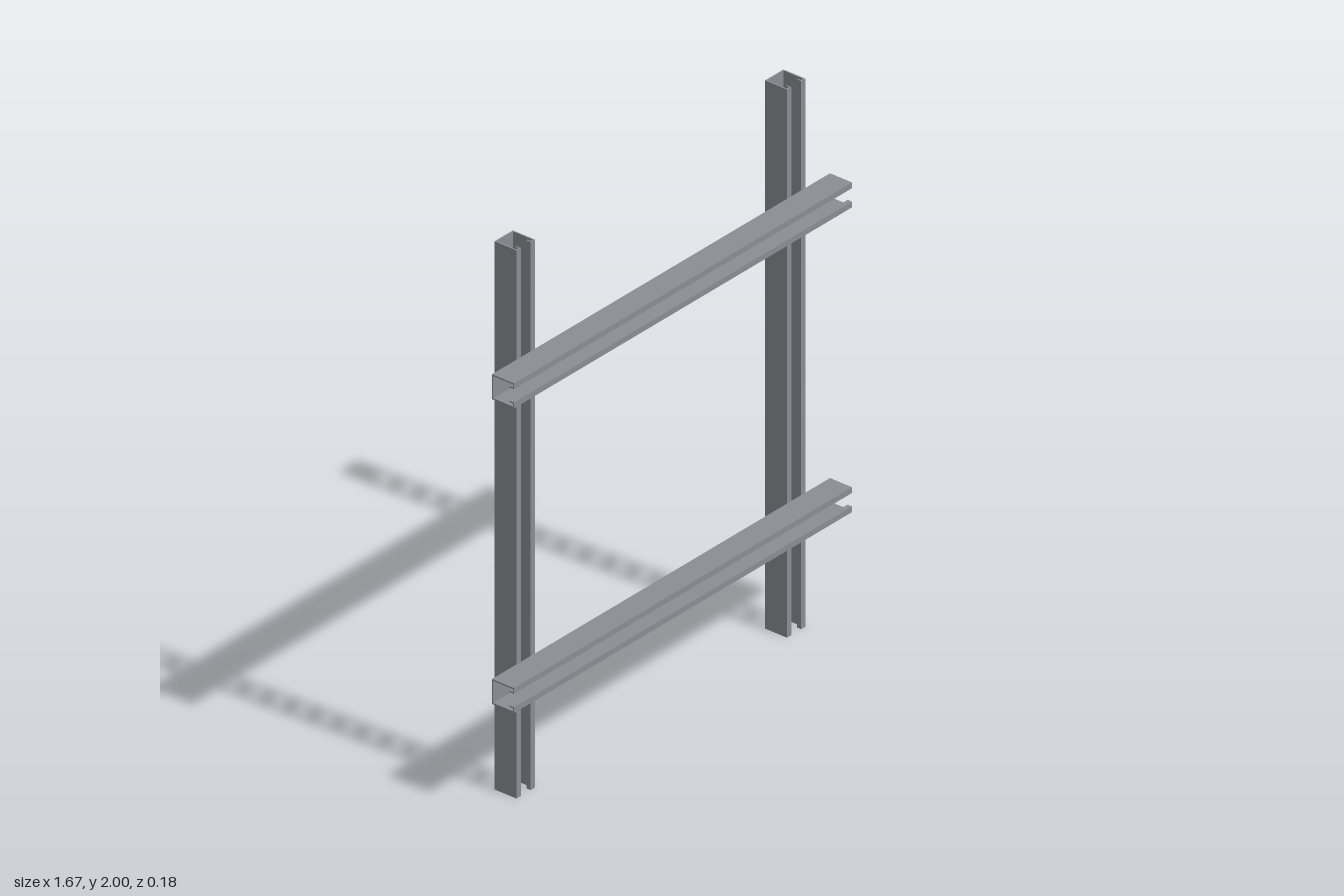
import * as THREE from 'three';

const SIZE = 0.091;    // channel width and depth
const T = 0.005;       // sheet thickness
const LIP = 0.021;     // width of the folded front lip
const RETURN = 0.018;  // depth of the inward lip return
const PITCH = 1 / 9;   // slot spacing

// Rounded slot outline centred on (0, cy)
function slot(cy, w = 0.041, h = 0.067, r = 0.006) {
  const p = new THREE.Path(), x = w / 2, y = h / 2;
  p.moveTo(-x + r, cy - y);
  p.lineTo(x - r, cy - y);
  p.quadraticCurveTo(x, cy - y, x, cy - y + r);
  p.lineTo(x, cy + y - r);
  p.quadraticCurveTo(x, cy + y, x - r, cy + y);
  p.lineTo(-x + r, cy + y);
  p.quadraticCurveTo(-x, cy + y, -x, cy + y - r);
  p.lineTo(-x, cy - y + r);
  p.quadraticCurveTo(-x, cy - y, -x + r, cy - y);
  return p;
}

// Slotted C-channel running up +y from the origin, back at z = 0, open to +z
function channel(name, length, slots, material) {
  const g = new THREE.Group();
  g.name = name;
  const h = SIZE / 2;

  // back plate with its row of slots
  const plate = new THREE.Shape([[-h, 0], [h, 0], [h, length], [-h, length]].map(([x, y]) => new THREE.Vector2(x, y)));
  for (let i = 0; i < slots; i++) plate.holes.push(slot(PITCH * (i + 0.5)));
  const web = new THREE.Mesh(new THREE.ExtrudeGeometry(plate, { depth: T, bevelEnabled: false, curveSegments: 3 }), material);
  web.name = 'slottedBack';
  g.add(web);

  // side walls with folded lips; profile in (x, depth)
  const hook = [
    [h, T], [h, SIZE], [h - LIP, SIZE], [h - LIP, SIZE - RETURN],
    [h - LIP + T, SIZE - RETURN], [h - LIP + T, SIZE - T], [h - T, SIZE - T], [h - T, T],
  ];
  for (const side of [-1, 1]) {
    const profile = new THREE.Shape(hook.map(([x, d]) => new THREE.Vector2(side * x, -d)));
    const geo = new THREE.ExtrudeGeometry(profile, { depth: length, bevelEnabled: false });
    geo.rotateX(-Math.PI / 2);
    const wall = new THREE.Mesh(geo, material);
    wall.name = side > 0 ? 'leftLippedWall' : 'rightLippedWall';
    g.add(wall);
  }
  return g;
}

export function createModel() {
  const model = new THREE.Group();
  model.name = 'strutFrame';
  const steel = new THREE.MeshStandardMaterial({ color: 0x8b8d94 });
  steel.name = 'galvanised steel';

  // upright posts
  for (const side of [-1, 1]) {
    const post = channel(side > 0 ? 'leftPost' : 'rightPost', 2, 17, steel);
    post.position.set(side * 0.667, 0, -SIZE);
    model.add(post);
  }

  // cross rails laid on the front of the posts
  for (const [name, y] of [['lowerRail', 0.444], ['upperRail', 1.556]]) {
    const rail = channel(name, 1.667, 14, steel);
    rail.rotation.z = Math.PI / 2;
    rail.position.set(0.8335, y, 0);
    model.add(rail);
  }
  return model;
}
